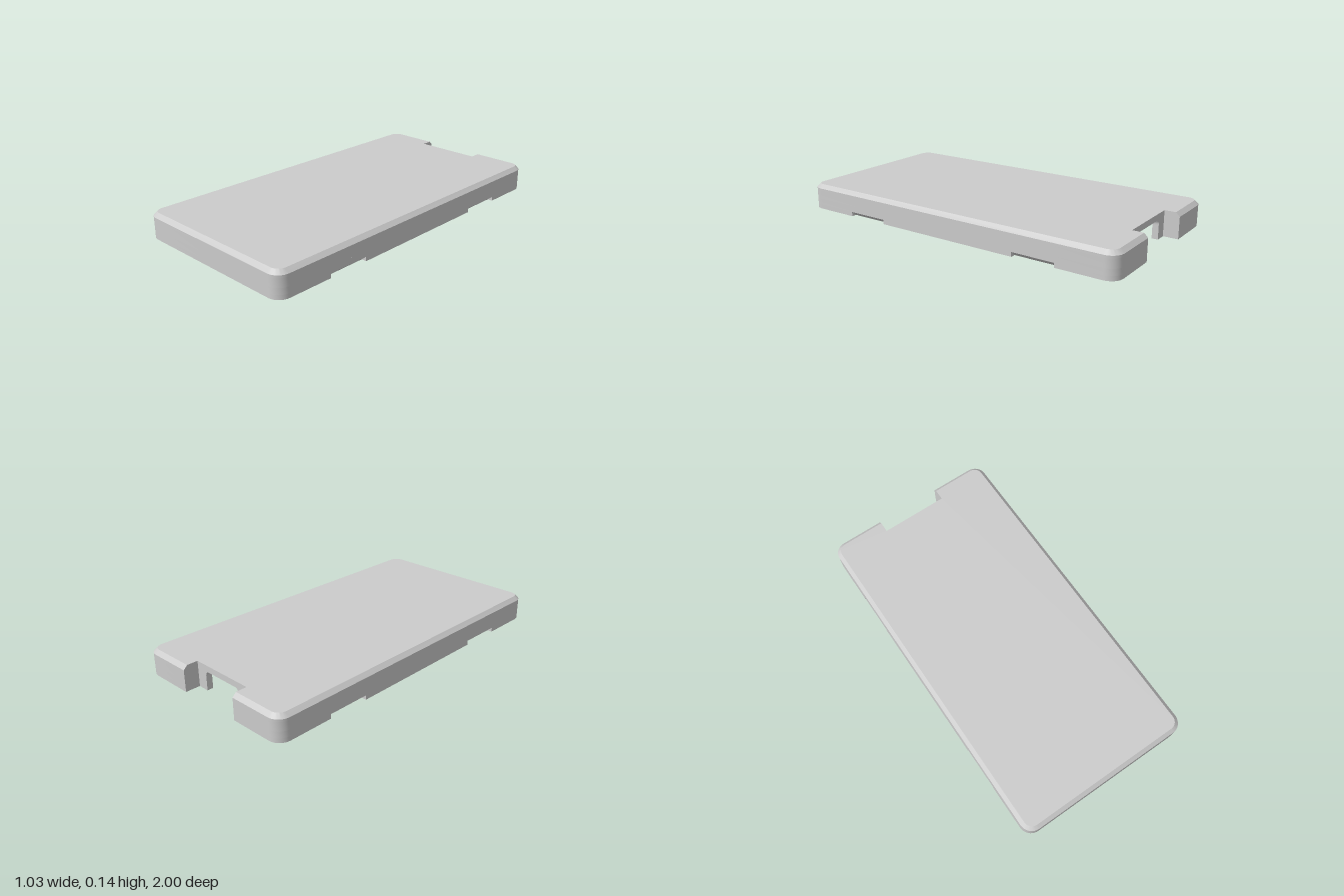
import * as THREE from 'three';
import { toCreasedNormals } from 'three/addons/utils/BufferGeometryUtils.js';

const W = 0.515, L = 1, R = 0.07;              // half width, half length, corner radius
const NOTCH = 0.195, NOTCH_Z = -0.915;         // cut-out in the back edge
const PORT = 0.13, PORT_Z = -0.88;             // opening in the wall behind the cut-out
const GRIP = 0.03, GRIP_H = 0.025;             // bevelled grips under the long sides
const GRIPS = [[-0.675, -0.43], [0.43, 0.675]];
const CEILING = 0.11, SHOULDER = 0.123, TOP = 0.145;

// Quarter circle as [x, z] points
function arc(cx, cz, r, from, steps = 10) {
  return Array.from({ length: steps + 1 }, (_, i) => {
    const a = from + (Math.PI / 2) * (i / steps);
    return [cx + r * Math.cos(a), cz + r * Math.sin(a)];
  });
}

// Outer outline, half built and mirrored, starting and ending at the notch
function outerLoop(inset = 0, grips = false) {
  const half = [[NOTCH, NOTCH_Z], [NOTCH, -L + inset],
    ...arc(W - R, -L + R, R - inset, -Math.PI / 2)];
  if (grips) {
    for (const [a, b] of GRIPS) half.push([W, a], [W - GRIP, a], [W - GRIP, b], [W, b]);
  }
  half.push(...arc(W - R, L - R, R - inset, 0));
  return [...half, ...half.map(([x, z]) => [-x, z]).reverse()];
}

// Inner wall with side recesses and two posts at the front
function innerLoop(side) {
  const end = 0.41, front = 0.92, tip = 0.73, f = 0.035;
  const pts = [[PORT, NOTCH_Z], [PORT, PORT_Z], [end, PORT_Z], [end, -0.77],
    [side, -0.77], [side, 0.78], [end, 0.78], [end, front]];
  for (const [a, b] of [[0.14, 0.07], [-0.12, -0.19]]) {
    pts.push(...arc(a + f, front - f, f, Math.PI / 2, 6), [a, tip], [b, tip]);
    pts.push([b, front]);
  }
  pts.push([-end, front], [-end, 0.78], [-side, 0.78], [-side, -0.77],
    [-end, -0.77], [-end, PORT_Z], [-PORT, PORT_Z], [-PORT, NOTCH_Z]);
  return pts;
}

const toShape = (pts) => new THREE.Shape(pts.map(([x, z]) => new THREE.Vector2(x, -z)));

// Flat slab between two heights
function slab(pts, y0, y1) {
  const g = new THREE.ExtrudeGeometry(toShape(pts), { depth: y1 - y0, bevelEnabled: false });
  g.rotateX(-Math.PI / 2).translate(0, y0, 0);
  return toCreasedNormals(g, 0.5);
}

// Band joining two loops of equal length
function band(low, y0, high, y1) {
  const pos = [], n = low.length;
  for (let i = 0; i < n; i++) {
    const j = (i + 1) % n;
    const a = [low[i][0], y0, low[i][1]], b = [low[j][0], y0, low[j][1]];
    const c = [high[j][0], y1, high[j][1]], d = [high[i][0], y1, high[i][1]];
    pos.push(...a, ...c, ...b, ...a, ...d, ...c);
  }
  const g = new THREE.BufferGeometry();
  g.setAttribute('position', new THREE.Float32BufferAttribute(pos, 3));
  return toCreasedNormals(g, 0.5);
}

export function createModel() {
  const model = new THREE.Group();
  model.name = 'caseCover';
  const mat = new THREE.MeshStandardMaterial({ color: 0xcccccc });
  const add = (name, geometry) => {
    const mesh = new THREE.Mesh(geometry, mat);
    mesh.name = name;
    model.add(mesh);
    return mesh;
  };

  // Rim in three layers: grips at the bottom, a ledge inside higher up
  const ring = (grips, side) => [...outerLoop(0, grips), ...innerLoop(side).reverse()];
  add('lowerRim', slab(ring(true, 0.45), 0, GRIP_H));
  add('middleRim', slab(ring(false, 0.45), GRIP_H, 0.06));
  add('upperRim', slab(ring(false, 0.43), 0.06, CEILING));

  // Slanted faces of the grips
  const wedge = new THREE.Shape([
    new THREE.Vector2(W - GRIP, 0), new THREE.Vector2(W, GRIP_H), new THREE.Vector2(W - GRIP, GRIP_H)]);
  for (const [a, b] of GRIPS) {
    const g = new THREE.ExtrudeGeometry(wedge, { depth: b - a, bevelEnabled: false });
    g.translate(0, 0, a);
    add('gripBevel', g);
    const other = add('gripBevel', g);
    other.rotation.y = Math.PI;               // grips are symmetric front to back
  }

  // Rounded upper corners of the port opening
  const r = 0.03;
  for (const s of [1, -1]) {
    const corner = new THREE.Shape();
    corner.moveTo(s * PORT, CEILING);
    corner.lineTo(s * (PORT - r), CEILING);
    corner.quadraticCurveTo(s * PORT, CEILING, s * PORT, CEILING - r);
    const g = new THREE.ExtrudeGeometry(corner, { depth: PORT_Z - NOTCH_Z, bevelEnabled: false, curveSegments: 8 });
    g.translate(0, 0, NOTCH_Z);
    add('portCorner', toCreasedNormals(g, 0.5));
  }

  // Cover plate, its chamfer and the flat top
  const inset = TOP - SHOULDER;
  add('coverPlate', slab(outerLoop(), CEILING, SHOULDER));
  add('chamfer', band(outerLoop(), SHOULDER, outerLoop(inset), TOP));
  const top = new THREE.ShapeGeometry(toShape(outerLoop(inset)));
  top.rotateX(-Math.PI / 2).translate(0, TOP, 0);
  add('topFace', top);

  return model;
}
